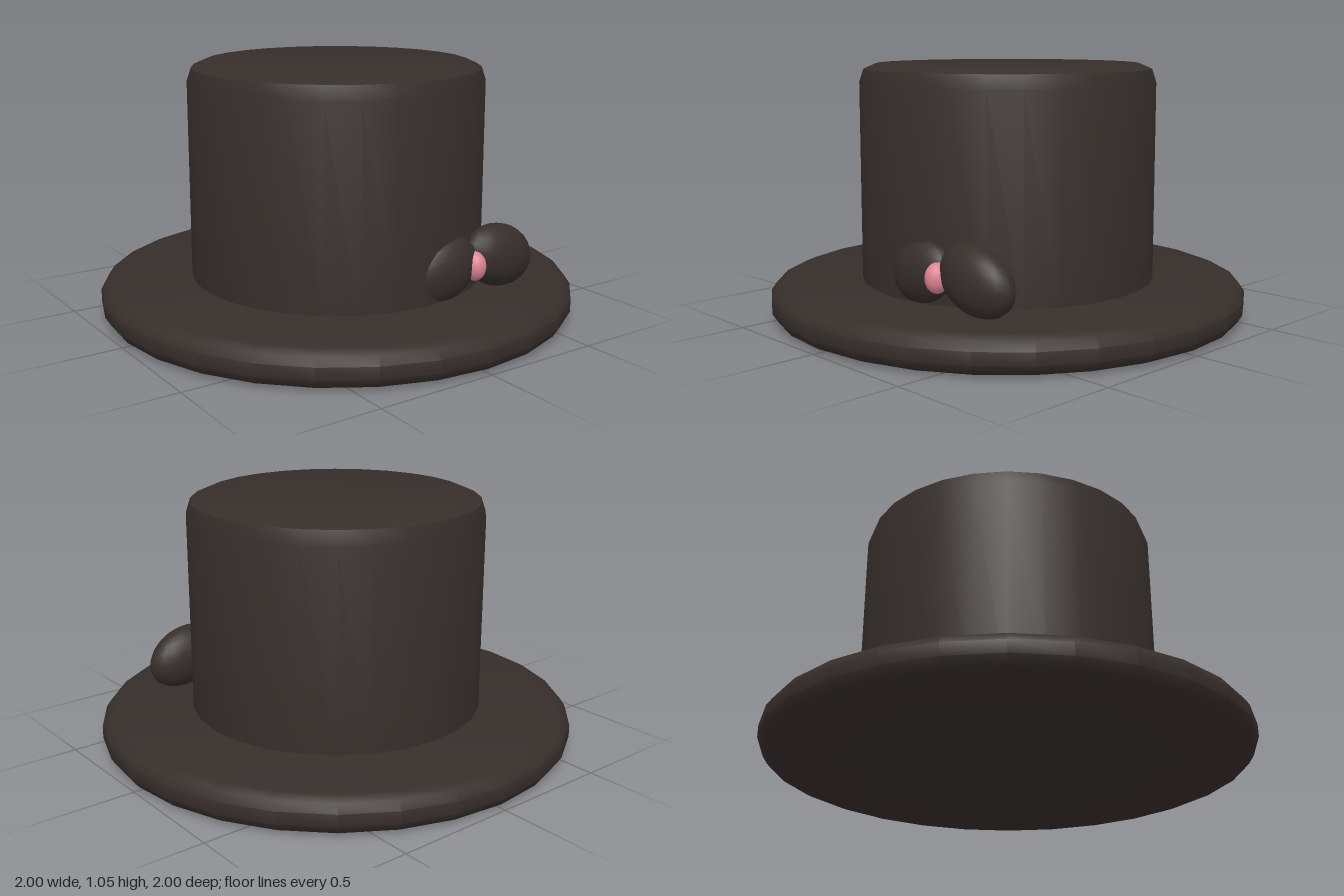
import * as THREE from 'three';
import { toCreasedNormals } from 'three/addons/utils/BufferGeometryUtils.js';

const felt = new THREE.MeshStandardMaterial({ color: 0x362e2b });
const pink = new THREE.MeshStandardMaterial({ color: 0xdc8492 });

function lathe(name, profile) {
  const points = profile.map(([r, y]) => new THREE.Vector2(r, y));
  const geometry = toCreasedNormals(new THREE.LatheGeometry(points, 28), 0.6);
  const mesh = new THREE.Mesh(geometry, felt);
  mesh.name = name;
  return mesh;
}

function ellipsoid(name, material, position, radii, rotation = [0, 0, 0]) {
  const mesh = new THREE.Mesh(new THREE.SphereGeometry(1, 20, 14), material);
  mesh.name = name;
  mesh.position.set(...position);
  mesh.scale.set(...radii);
  mesh.rotation.set(...rotation);
  return mesh;
}

export function createModel() {
  const hat = new THREE.Group();
  hat.name = 'topHat';

  // Thick disc brim with rounded rim
  hat.add(lathe('brim', [
    [0, 0], [0.94, 0], [0.978, 0.016], [1, 0.05],
    [1, 0.1], [0.978, 0.132], [0.94, 0.148], [0, 0.148],
  ]));

  // Straight crown with bevelled top edge
  hat.add(lathe('crown', [
    [0, 0.1], [0.618, 0.1], [0.618, 0.97], [0.6, 1.025], [0.55, 1.047], [0, 1.047],
  ]));

  // Bow resting against the crown, off to the left
  const bow = new THREE.Group();
  bow.name = 'bow';
  bow.add(
    ellipsoid('leftBowLoop', felt, [0.415, 0.275, 0.56], [0.18, 0.13, 0.092], [0, 0.05, -0.3]),
    ellipsoid('rightBowLoop', felt, [0.115, 0.265, 0.565], [0.17, 0.13, 0.085], [0, -0.05, 0.3]),
    ellipsoid('bowKnot', pink, [0.25, 0.267, 0.61], [0.045, 0.06, 0.05]),
  );
  hat.add(bow);
  return hat;
}
